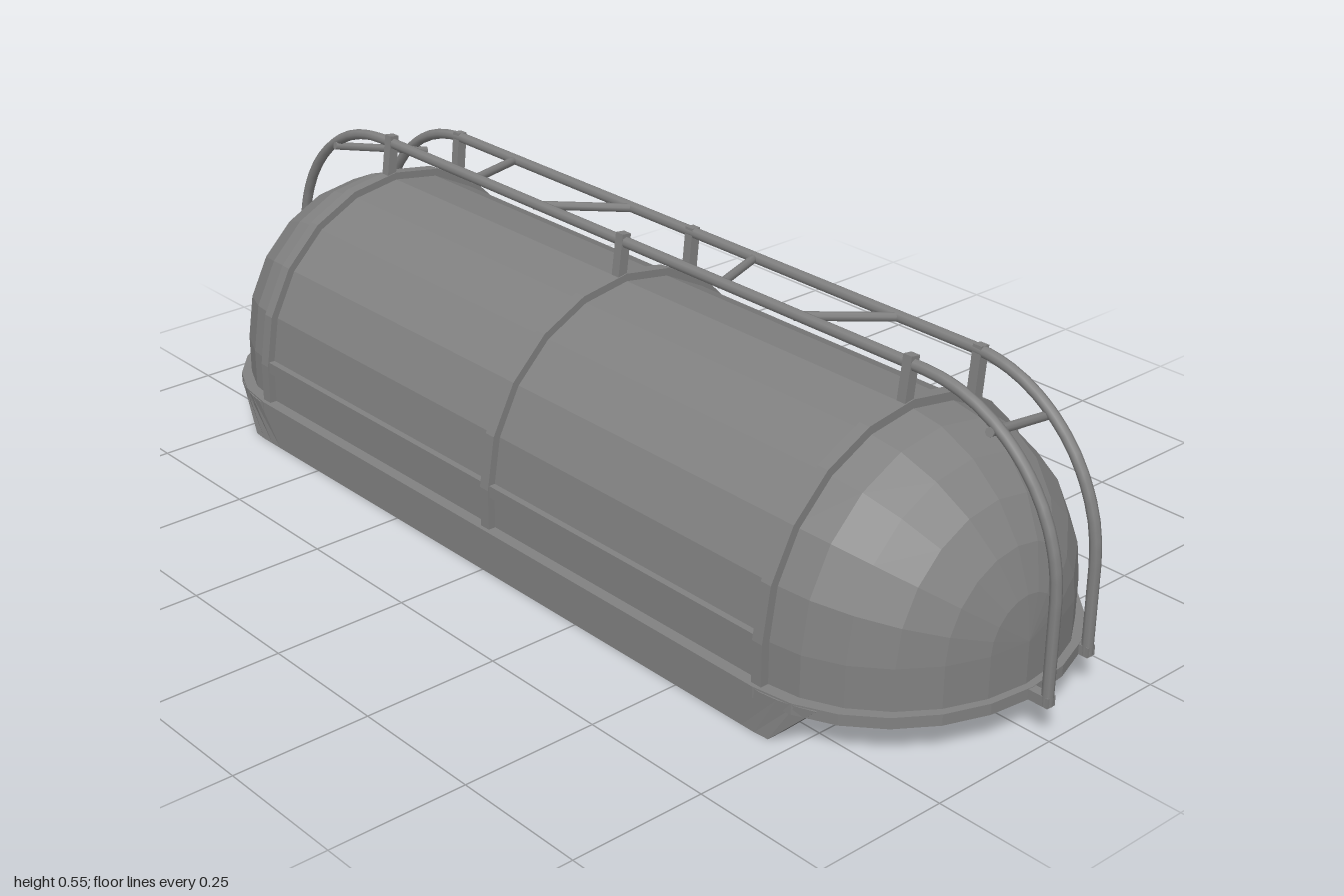
import * as THREE from 'three';

const HALF = 0.675;   // half length of the straight section
const SPRING = 0.155; // height where the vault starts
const R = 0.303;      // vault radius

export function createModel() {
  const model = new THREE.Group();
  const flat = new THREE.MeshStandardMaterial({ color: 0x808080, flatShading: true, side: THREE.DoubleSide });
  const smooth = new THREE.MeshStandardMaterial({ color: 0x808080 });

  const add = (name, geometry, material = flat) => {
    const mesh = new THREE.Mesh(geometry, material);
    mesh.name = name;
    model.add(mesh);
    return mesh;
  };
  const box = (name, w, h, d, x, y, z, tilt = 0) =>
    add(name, new THREE.BoxGeometry(w, h, d).rotateX(tilt).translate(x, y, z));

  // Outline with straight sides and elliptical ends
  const outline = (rx, rz) => {
    const points = [];
    for (const s of [1, -1]) {
      for (let i = 0; i <= 12; i++) {
        const a = -Math.PI / 2 + (i / 12) * Math.PI;
        points.push(new THREE.Vector2(s * (HALF + rx * Math.cos(a)), s * rz * Math.sin(a)));
      }
    }
    return points;
  };
  // Horizontal plate, or a ring of the given wall thickness
  const stadium = (rx, rz, y0, y1, wall = 0) => {
    const shape = new THREE.Shape(outline(rx, rz));
    if (wall) shape.holes.push(new THREE.Path(outline(rx - wall, rz - wall)));
    return new THREE.ExtrudeGeometry(shape, { depth: y1 - y0, bevelEnabled: false })
      .rotateX(-Math.PI / 2).translate(0, y0, 0);
  };

  // Round bar between two points
  const bar = (name, a, b, r = 0.008) => {
    const from = new THREE.Vector3(...a), to = new THREE.Vector3(...b);
    const dir = to.clone().sub(from);
    const mesh = add(name, new THREE.CylinderGeometry(r, r, dir.length(), 8), smooth);
    mesh.position.copy(from).add(to).multiplyScalar(0.5);
    mesh.quaternion.setFromUnitVectors(new THREE.Vector3(0, 1, 0), dir.normalize());
  };

  // Hull: upright wall, half-cylinder roof and a quarter dome at each end
  add('hullWall', stadium(0.272, R, 0.078, SPRING));
  add('roof', new THREE.CylinderGeometry(R, R, 2 * HALF, 10, 1, true, -Math.PI, Math.PI)
    .rotateZ(-Math.PI / 2).translate(0, SPRING, 0));
  const arc = [];
  for (let i = 0; i <= 6; i++) {
    const a = (i / 6) * Math.PI / 2;
    arc.push(new THREE.Vector2(Math.max(R * Math.cos(a), 0), 0.272 * Math.sin(a)));
  }
  for (const s of [1, -1]) {
    const dome = new THREE.LatheGeometry(arc, 10, -Math.PI, Math.PI).rotateZ(-Math.PI / 2);
    if (s < 0) dome.rotateY(Math.PI);
    add(s > 0 ? 'leftDome' : 'rightDome', dome.translate(s * HALF, SPRING, 0));
  }

  // Base flange with a lip around the recessed floor
  add('floor', stadium(0.285, 0.325, 0.076, 0.08));
  add('lip', stadium(0.285, 0.325, 0.06, 0.076, 0.01));

  // Skids: curved strips under the flange with slanted ends
  const skid = (side) => {
    const edge = (x) => 0.325 * Math.sqrt(1 - (Math.max(Math.abs(x) - HALF, 0) / 0.285) ** 2);
    const pos = [], index = [];
    const stations = [-1, -0.96, -0.92, -0.88, 0.88, 0.92, 0.96, 1];
    for (const t of stations) {
      const xt = t * 0.787, xb = t * 0.71;
      pos.push(xt, 0.077, side * edge(xt), xb, 0, side * edge(xb));
      pos.push(xb, 0, side * (edge(xb) - 0.035), xt, 0.077, side * (edge(xt) - 0.035));
    }
    const quad = (a, b, c, d) => (side > 0 ? index.push(a, b, c, a, c, d) : index.push(a, c, b, a, d, c));
    for (let i = 0; i < stations.length - 1; i++) {
      for (let k = 0; k < 4; k++) {
        const n = (k + 1) % 4;
        quad(i * 4 + k, i * 4 + n, i * 4 + 4 + n, i * 4 + 4 + k);
      }
    }
    const e = (stations.length - 1) * 4;
    quad(3, 2, 1, 0);
    quad(e, e + 1, e + 2, e + 3);
    const geometry = new THREE.BufferGeometry();
    geometry.setAttribute('position', new THREE.Float32BufferAttribute(pos, 3));
    geometry.setIndex(index);
    geometry.computeVertexNormals();
    return geometry;
  };
  add('frontSkid', skid(1));
  add('backSkid', skid(-1));

  // Ribs: arched bands over the hull
  const ribPoints = [];
  for (const [r, order] of [[0.317, 1], [0.294, -1]]) {
    const line = [new THREE.Vector2(r, 0.078)];
    for (let i = 0; i <= 10; i++) {
      const a = (i / 10) * Math.PI;
      line.push(new THREE.Vector2(r * Math.cos(a), SPRING + r * Math.sin(a)));
    }
    line.push(new THREE.Vector2(-r, 0.078));
    ribPoints.push(...(order > 0 ? line : line.reverse()));
  }
  const ribShape = new THREE.Shape(ribPoints);
  for (const x of [-HALF, 0, HALF]) {
    add('rib', new THREE.ExtrudeGeometry(ribShape, { depth: 0.022, bevelEnabled: false })
      .rotateY(Math.PI / 2).translate(x - 0.011, 0, 0));
    // Posts carrying the two rails, leaning slightly back
    box('frontPost', 0.018, 0.085, 0.019, x, 0.503, 0.004, -0.13);
    box('backPost', 0.018, 0.1, 0.019, x, 0.464, -0.16, -0.1);
  }

  // Side rails between the ribs
  for (const s of [1, -1]) box('sideRail', 2 * HALF, 0.022, 0.022, 0, 0.153, s * 0.303);

  // Overhead rails: straight on top, bent down to the flange at both ends
  const rail = (name, z, cx, cy, rx, ry) => {
    const path = new THREE.CurvePath();
    const points = [new THREE.Vector3(-cx - rx, 0.062, z)];
    for (const s of [-1, 1]) {
      for (let i = 0; i <= 12; i++) {
        const a = ((s < 0 ? i : 12 - i) / 12) * Math.PI / 2;
        points.push(new THREE.Vector3(s * (cx + rx * Math.cos(a)), cy + ry * Math.sin(a), z));
      }
    }
    points.push(new THREE.Vector3(cx + rx, 0.062, z));
    for (let i = 1; i < points.length; i++) path.add(new THREE.LineCurve3(points[i - 1], points[i]));
    add(name, new THREE.TubeGeometry(path, 160, 0.01, 8), smooth);
    for (const s of [-1, 1]) box('railFoot', 0.06, 0.018, 0.018, s * (cx + rx - 0.022), 0.07, z);
  };
  rail('frontRail', 0, 0.705, 0.245, 0.285, 0.285);
  rail('backRail', -0.163, 0.665, 0.225, 0.27, 0.28);

  // Slanted braces joining the rails
  for (const s of [-1, 1]) {
    bar('brace', [s * 0.42, 0.526, 0], [s * 0.5, 0.504, -0.163]);
    bar('brace', [s * 0.245, 0.526, 0], [s * 0.16, 0.504, -0.163]);
    bar('endBrace', [s * 0.85, 0.48, 0.012], [s * 0.812, 0.435, -0.182]);
  }
  return model;
}
